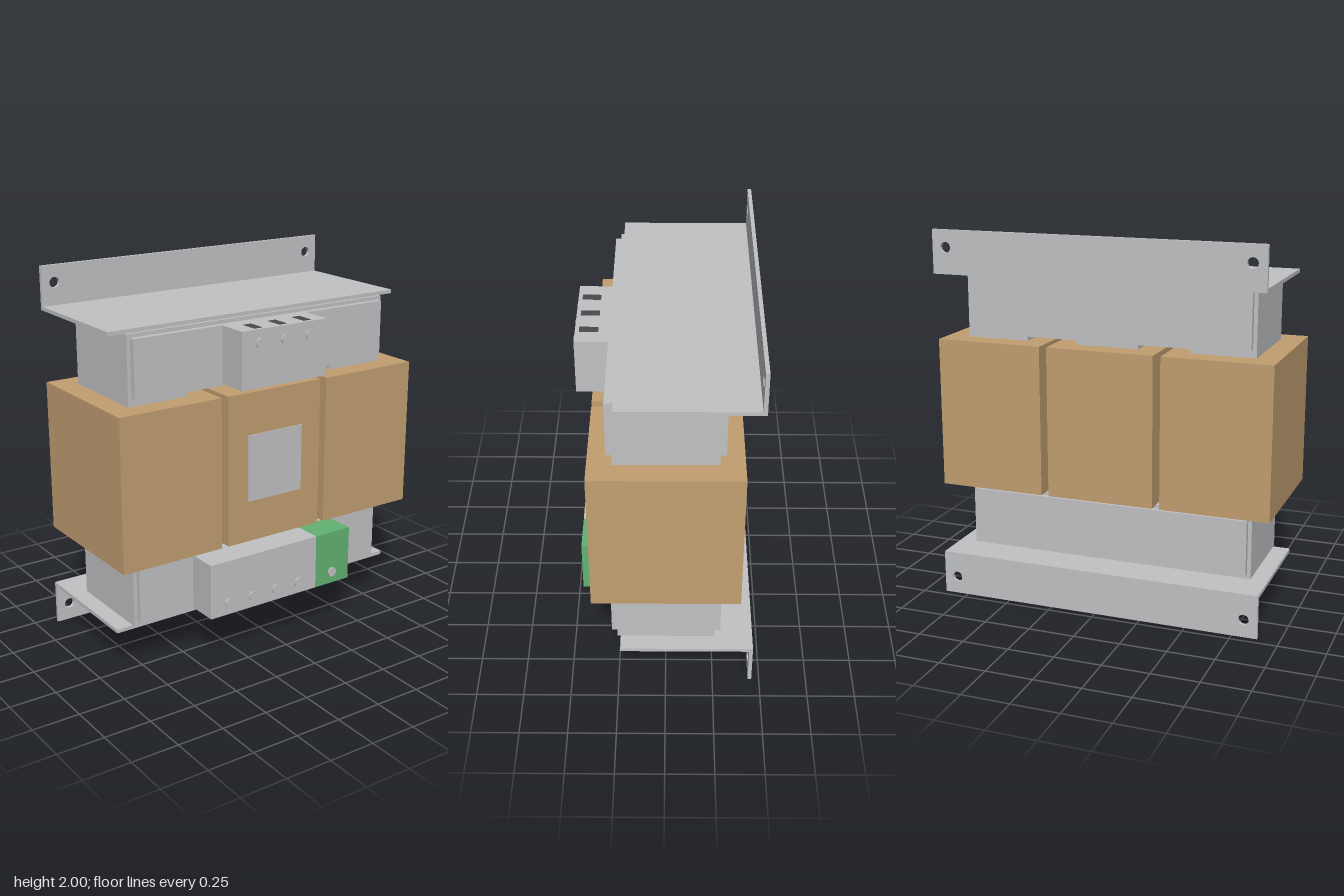
import * as THREE from 'three';

export function createModel() {
  const model = new THREE.Group();
  model.name = 'transformer';

  const mat = (name, color) => {
    const m = new THREE.MeshStandardMaterial({ color });
    m.name = name;
    return m;
  };
  const steel = mat('steel grey', 0xc1c2c4);
  const winding = mat('winding tan', 0xc29e70);
  const green = mat('earth green', 0x62b373);
  const dark = mat('slot dark grey', 0x4b4b4d);

  const add = (name, geometry, material) => {
    const mesh = new THREE.Mesh(geometry, material);
    mesh.name = name;
    model.add(mesh);
    return mesh;
  };
  // Box given by its limits on each axis
  const box = (name, material, [x0, x1], [y0, y1], [z0, z1]) =>
    add(name, new THREE.BoxGeometry(x1 - x0, y1 - y0, z1 - z0), material)
      .position.set((x0 + x1) / 2, (y0 + y1) / 2, (z0 + z1) / 2);
  // Rectangle outline for shapes and holes
  const rect = (path, x0, x1, y0, y1) =>
    path.moveTo(x0, y0).lineTo(x1, y0).lineTo(x1, y1).lineTo(x0, y1).closePath();
  const extrude = (shape, depth) =>
    new THREE.ExtrudeGeometry(shape, { depth, bevelEnabled: false, curveSegments: 12 });

  // Laminated core with two windows
  const coreShape = rect(new THREE.Shape(), -0.793, 0.793, 0.235, 1.77);
  for (const [a, b] of [[-0.45, -0.17], [0.17, 0.45]]) {
    coreShape.holes.push(rect(new THREE.Path(), a, b, 0.58, 1.43));
  }
  add('core', extrude(coreShape, 0.515), steel).position.z = -0.26;

  // Three coils
  for (const [a, b] of [[-0.913, -0.331], [-0.291, 0.291], [0.331, 0.913]]) {
    box('coil', winding, [a, b], [0.6, 1.408], [-0.382, 0.377]);
  }
  box('ratingPlate', steel, [-0.17, 0.17], [0.823, 1.183], [0.376, 0.382]);

  // Clamping strips on the front and back of both yokes
  for (const y of [[0.26, 0.56], [1.45, 1.75]]) {
    box('frontClampStrip', steel, [-0.773, 0.773], y, [0.25, 0.285]);
    box('backClampStrip', steel, [-0.773, 0.773], y, [-0.29, -0.255]);
  }

  // L-shaped mounting brackets with two bolt holes each
  for (const [plateY, flangeY, holeY] of [
    [[0.215, 0.235], [0, 0.235], 0.095],
    [[1.77, 1.79], [1.77, 2], 1.909],
  ]) {
    box('bracketPlate', steel, [-0.885, 0.885], plateY, [-0.44, 0.238]);
    const flange = rect(new THREE.Shape(), -0.885, 0.885, ...flangeY);
    for (const x of [-0.812, 0.812]) {
      const hole = new THREE.Path();
      hole.absarc(x, holeY, 0.028, 0, Math.PI * 2, true);
      flange.holes.push(hole);
    }
    add('bracketFlange', extrude(flange, 0.02), steel).position.z = -0.46;
  }

  // Terminal blocks
  box('upperTerminalBlock', steel, [-0.263, 0.263], [1.45, 1.75], [0.285, 0.455]);
  box('lowerTerminalBlock', steel, [-0.453, 0.226], [0.26, 0.56], [0.285, 0.455]);
  box('earthTerminalBlock', green, [0.226, 0.453], [0.26, 0.56], [0.285, 0.455]);

  // Terminal screws and the wire slots on the outer faces
  const screwGeometry = new THREE.CylinderGeometry(0.026, 0.026, 0.016, 24).rotateX(Math.PI / 2);
  for (const [xs, screwY, slotY] of [
    [[-0.152, 0, 0.152], 1.68, 1.75],
    [[-0.34, -0.19, -0.04, 0.112, 0.338], 0.325, 0.26],
  ]) {
    for (const x of xs) {
      add('terminalScrew', screwGeometry, steel).position.set(x, screwY, 0.455);
      box('wireSlot', dark, [x - 0.023, x + 0.023], [slotY - 0.002, slotY + 0.002], [0.338, 0.434]);
    }
  }

  return model;
}
